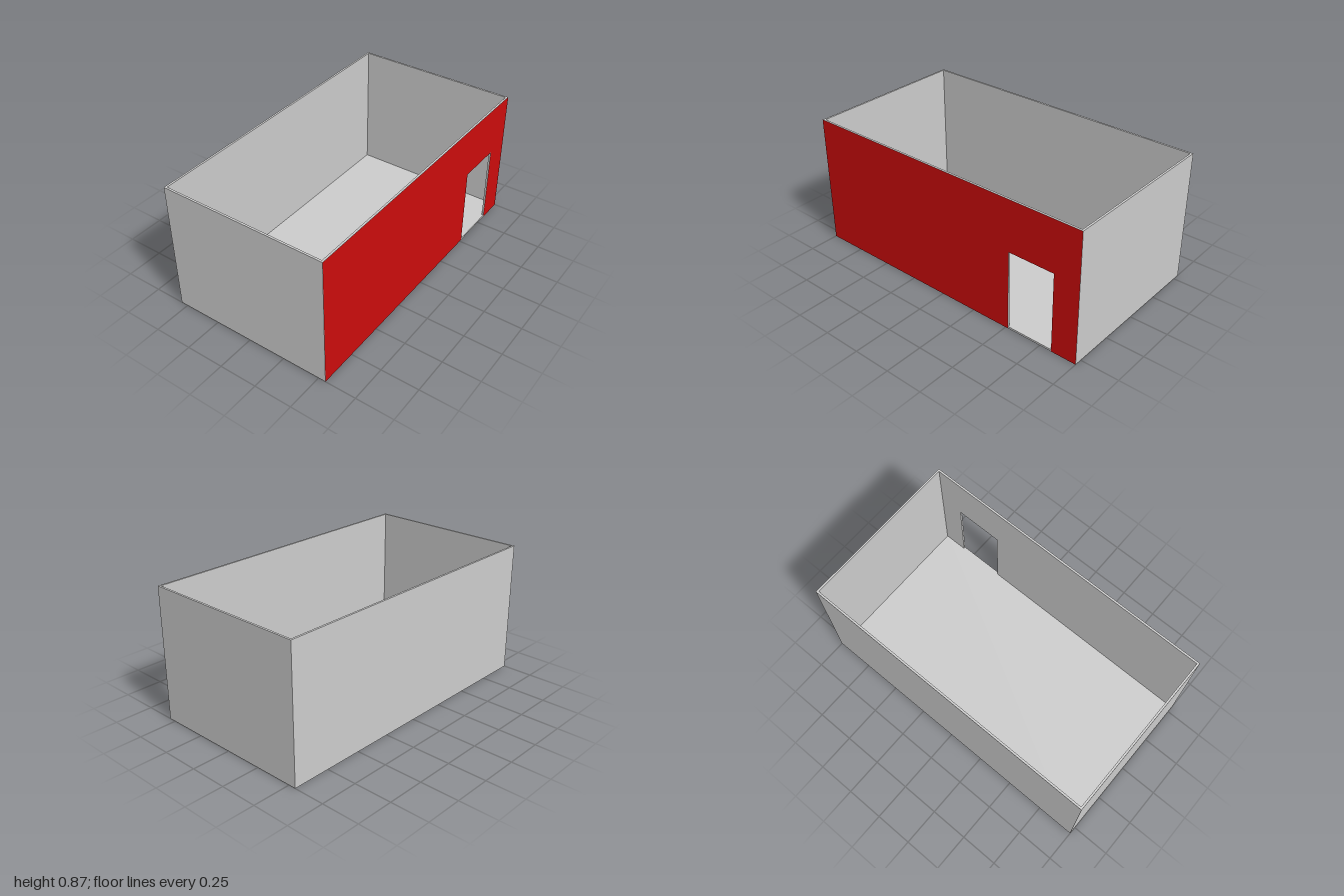
import * as THREE from 'three';

const W = 1.095, H = 0.868, L = 2, T = 0.013; // outer size and wall thickness
const DOOR = { near: 0.518, far: 0.831, top: 0.532 }; // distances towards the back

// Side wall outline, drawn with x running towards the back, and a notch for the doorway
function doorWallShape(bottom, halfLength) {
  return new THREE.Shape([
    [-halfLength, bottom], [DOOR.near, bottom], [DOOR.near, DOOR.top],
    [DOOR.far, DOOR.top], [DOOR.far, bottom], [halfLength, bottom],
    [halfLength, H], [-halfLength, H],
  ].map(([x, y]) => new THREE.Vector2(x, y)));
}

export function createModel() {
  const model = new THREE.Group();
  model.name = 'openRoom';
  const grey = new THREE.MeshStandardMaterial({ color: 0xcccccc });
  const red = new THREE.MeshStandardMaterial({ color: 0xcc0c0c });

  const add = (name, geometry, material, x, y, z) => {
    const mesh = new THREE.Mesh(geometry, material);
    mesh.name = name;
    mesh.position.set(x, y, z);
    model.add(mesh);
    return mesh;
  };

  // Floor slab carrying the walls
  add('floor', new THREE.BoxGeometry(W, T, L), grey, 0, T / 2, 0);

  // Closed walls
  const wallH = H - T, wallY = T + wallH / 2;
  add('frontWall', new THREE.BoxGeometry(W, wallH, T), grey, 0, wallY, L / 2 - T / 2);
  add('backWall', new THREE.BoxGeometry(W, wallH, T), grey, 0, wallY, -L / 2 + T / 2);
  add('plainSideWall', new THREE.BoxGeometry(T, wallH, L - 2 * T), grey, -W / 2 + T / 2, wallY, 0);

  // Wall with the doorway, turned so its outline runs along z
  const doorWall = new THREE.ExtrudeGeometry(doorWallShape(T, L / 2 - T), { depth: T, bevelEnabled: false });
  doorWall.rotateY(Math.PI / 2);
  add('doorWall', doorWall, grey, W / 2 - T, 0, 0);

  // Painted outer face of the doorway wall, a hair outside it
  const paint = new THREE.ShapeGeometry(doorWallShape(0, L / 2));
  paint.rotateY(Math.PI / 2);
  add('paintedFace', paint, red, W / 2 + 0.0008, 0, 0);

  return model;
}
